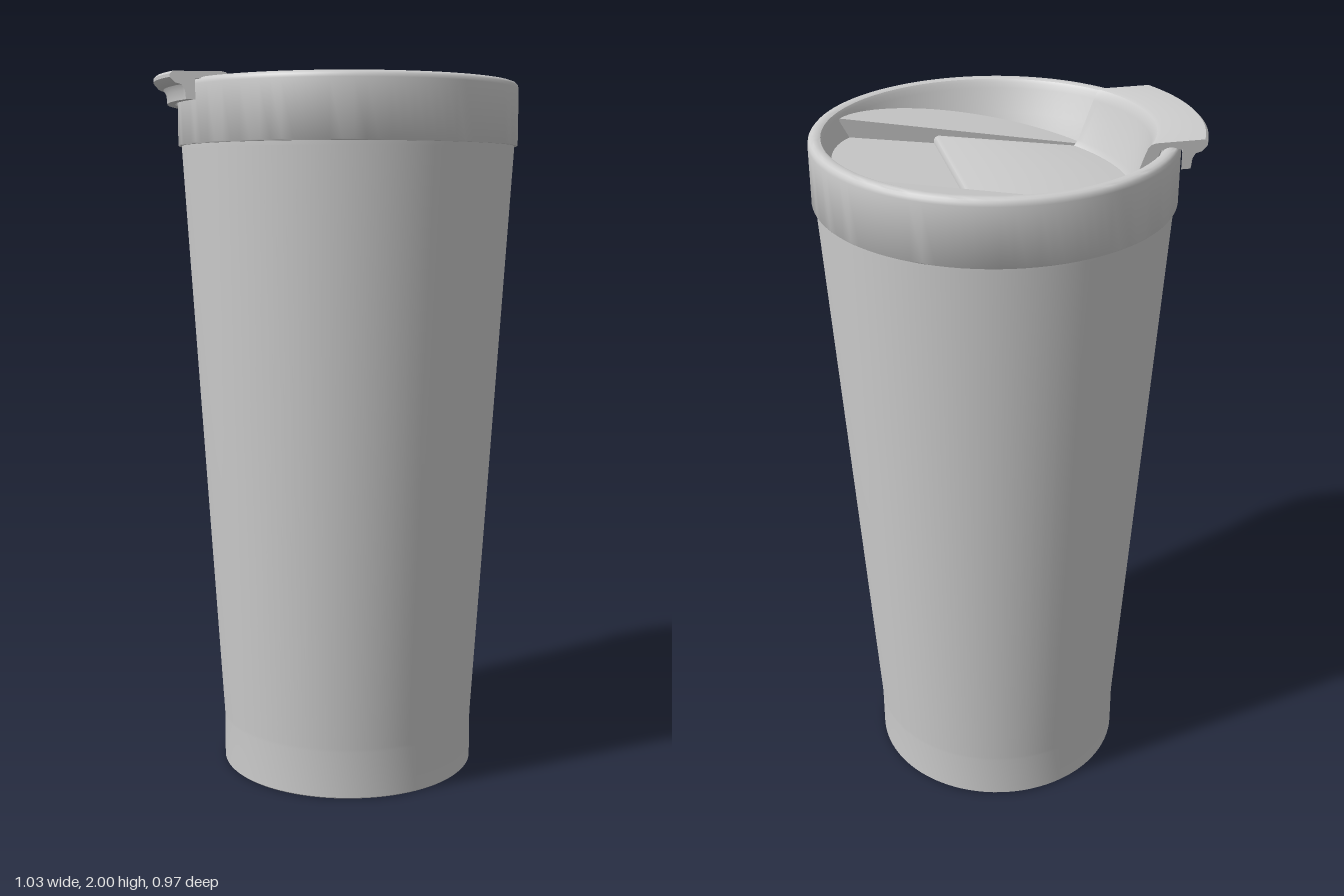
import * as THREE from 'three';
import { toCreasedNormals } from 'three/addons/utils/BufferGeometryUtils.js';

const CX = 0.033;      // axis of the cup
const HALF = 0.23;     // half width of the slider
const SLOPE = 0.15;    // rise of the slider channel towards +x
const material = new THREE.MeshStandardMaterial({ color: 0xcccccc });

function addMesh(group, name, geometry, crease = 0.6) {
  const mesh = new THREE.Mesh(toCreasedNormals(geometry, crease), material);
  mesh.name = name;
  group.add(mesh);
  return mesh;
}

function lathe(points) {
  const geometry = new THREE.LatheGeometry(points.map(([r, y]) => new THREE.Vector2(r, y)), 96);
  return geometry.translate(CX, 0, 0);
}

// Flat plate cut from an outline (x, -z), tilted so its top is y0 at x = -0.35
function tiltedPlate(outline, thickness, y0, slope) {
  const geometry = new THREE.ExtrudeGeometry(outline, { depth: thickness, bevelEnabled: false });
  geometry.rotateX(-Math.PI / 2);
  const p = geometry.attributes.position;
  for (let i = 0; i < p.count; i++) {
    p.setY(i, p.getY(i) - thickness + y0 + slope * (p.getX(i) + 0.35));
  }
  return geometry;
}

// Part of a disc between two angles, closed by its chord
function discSegment(radius, from, to) {
  const points = [];
  for (let i = 0; i <= 48; i++) {
    const a = from + (to - from) * i / 48;
    points.push(new THREE.Vector2(CX + radius * Math.cos(a), radius * Math.sin(a)));
  }
  return points;
}

// Slider profile swept across z, with its left part bent concentric to the rim
function sliderGeometry() {
  const at = (r, y) => new THREE.Vector2(CX - r, y);
  const endY = 1.83 + SLOPE * 0.48;
  const profile = new THREE.Shape([
    at(0.55, 1.984), at(0.55, 1.993), at(0.543, 2), at(0.43, 2), at(0.419, 1.997),
    at(0.412, 1.988), at(0.405, 1.968), at(0.372, 1.846), at(0.363, 1.83),
    new THREE.Vector2(0.138, endY), new THREE.Vector2(0.147, endY - 0.003),
    new THREE.Vector2(0.151, endY - 0.01), new THREE.Vector2(0.151, endY - 0.025),
    at(0.385, 1.8), at(0.405, 1.86), at(0.44, 1.98), at(0.49, 1.98), at(0.49, 1.926),
    at(0.512, 1.926), at(0.514, 1.95), at(0.522, 1.965), at(0.538, 1.97),
  ]);
  const geometry = new THREE.ExtrudeGeometry(profile, { depth: 2 * HALF, steps: 32, bevelEnabled: false });
  geometry.translate(0, 0, -HALF);
  const p = geometry.attributes.position;
  for (let i = 0; i < p.count; i++) {
    const x = p.getX(i);
    if (x > 0) continue;
    const bent = CX - Math.sqrt((CX - x) ** 2 - p.getZ(i) ** 2);
    p.setX(i, bent);
    if (p.getY(i) < 1.85) p.setY(i, p.getY(i) + SLOPE * (bent - x));
  }
  return geometry;
}

export function createModel() {
  const model = new THREE.Group();
  model.name = 'travelCup';

  // Tapered body with a straight foot and a recessed underside
  addMesh(model, 'body', lathe([
    [0, 0.1], [0.352, 0.1], [0.354, 0.003], [0.357, 0], [0.367, 0], [0.37, 0.003],
    [0.37, 0.135], [0.3705, 0.145], [0.473, 1.8], [0.473, 1.815],
  ]));

  // Lid
  const lid = new THREE.Group();
  lid.name = 'lid';
  model.add(lid);
  addMesh(lid, 'lidRim', lathe([
    [0.45, 1.811], [0.481, 1.811], [0.483, 1.814], [0.483, 1.968], [0.481, 1.977],
    [0.476, 1.983], [0.468, 1.986], [0.456, 1.986], [0.449, 1.983], [0.444, 1.975],
    [0.439, 1.96], [0.41, 1.895], [0.385, 1.83], [0.36, 1.76],
  ]));

  // Raised side floors flanking the slider channel
  const edge = Math.asin((HALF + 0.002) / 0.44);
  for (const [name, turn] of [['backFloor', 0], ['frontFloor', Math.PI]]) {
    const outline = new THREE.Shape(discSegment(0.44, edge + turn, Math.PI - edge + turn));
    addMesh(lid, name, tiltedPlate(outline, 0.07, 1.83, 0.185));
  }

  // Channel floor under the slider
  const channel = new THREE.Shape([
    ...discSegment(0.44, -edge, edge),
    ...discSegment(0.44, Math.PI - edge, Math.PI + edge),
  ]);
  addMesh(lid, 'channelFloor', tiltedPlate(channel, 0.03, 1.806, SLOPE));

  // Sliding cover hooked over the rim
  addMesh(lid, 'slider', sliderGeometry());

  return model;
}
